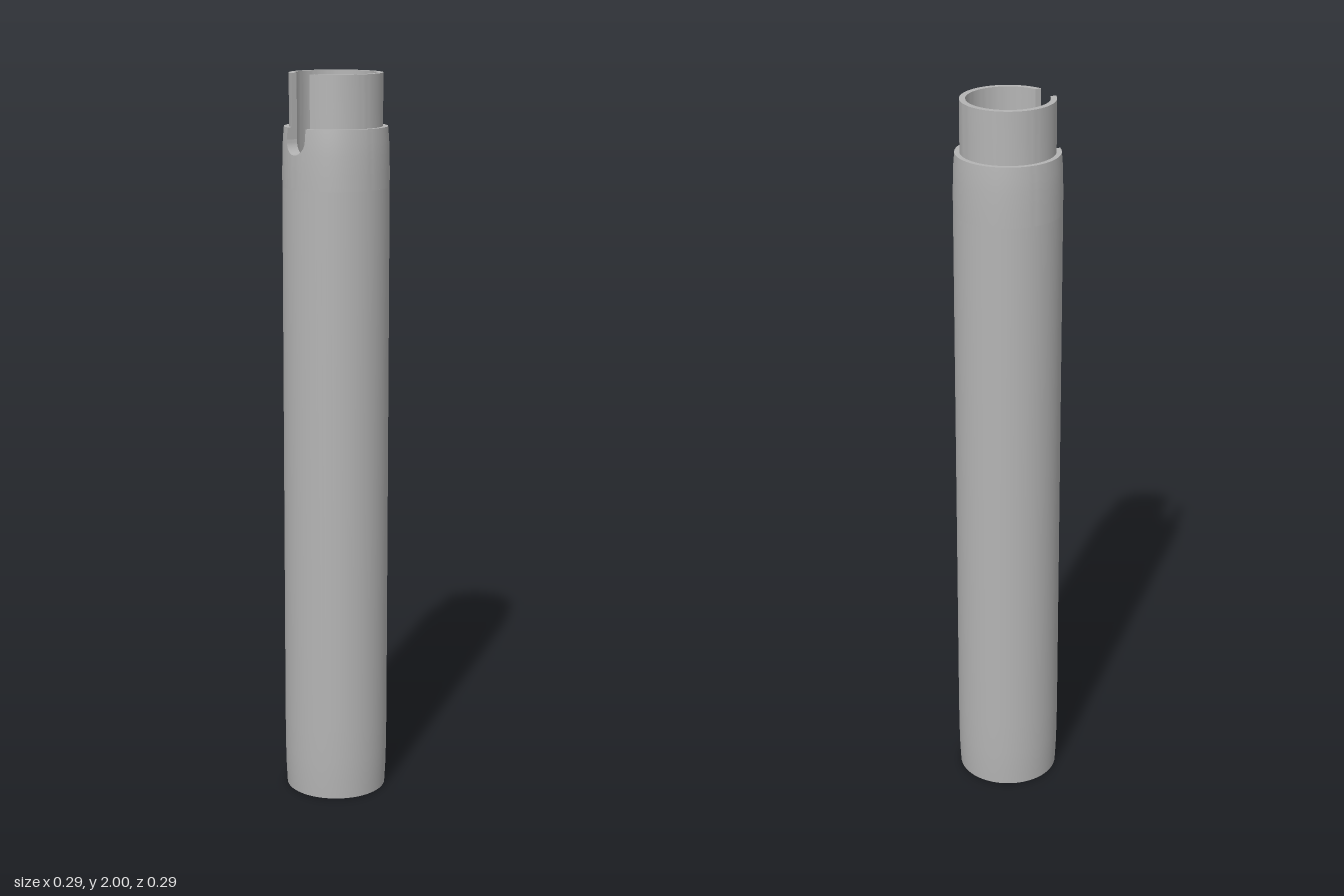
import * as THREE from 'three';
import { mergeGeometries, toCreasedNormals } from 'three/addons/utils/BufferGeometryUtils.js';

const SEG = 72;          // sides around the tube
const BORE = 0.109;      // inner radius
const SPLIT = 1.7;       // height where the slotted end begins
const SLOT = 0.038;      // half width of the slot
const SLOT_Y = 1.828;    // centre of the slot's round bottom
const CREASE = 0.5;

// Surface through a grid of points, column by column
function grid(columns) {
  const n = columns[0].length;
  const index = [];
  for (let j = 0; j < columns.length - 1; j++) {
    for (let i = 0; i < n - 1; i++) {
      const a = j * n + i, b = a + n;
      index.push(a, b, a + 1, b + 1, a + 1, b);
    }
  }
  const geometry = new THREE.BufferGeometry();
  geometry.setAttribute('position', new THREE.Float32BufferAttribute(columns.flat(2), 3));
  geometry.setIndex(index);
  return geometry;
}

export function createModel() {
  const group = new THREE.Group();
  const metal = new THREE.MeshStandardMaterial({ color: 0xb4b4b4, side: THREE.DoubleSide });
  metal.name = 'grey metal';

  const add = (name, geometry) => {
    const mesh = new THREE.Mesh(geometry, metal);
    mesh.name = name;
    group.add(mesh);
    return mesh;
  };

  // Long tube with a rounded-in foot and a socket inside the lower end
  const tubeProfile = [
    [BORE, SPLIT], [BORE, 0.15], [0.128, 0.15], [0.128, 0],
    [0.1385, 0], [0.1412, 0.05], [0.1427, 0.11], [0.1435, 0.2], [0.1435, SPLIT],
  ].map(([r, y]) => new THREE.Vector2(r, y));
  add('tube', toCreasedNormals(new THREE.LatheGeometry(tubeProfile, SEG), CREASE));

  // Upper end: tapered shoulder and narrow spigot, swept from one slot wall to the other
  const upper = [
    [0.1435, SPLIT], [0.1435, 1.74], [0.1427, 1.79], [0.1412, SLOT_Y], [0.1385, 1.86],
    [0.125, 1.86], [0.125, 2], [BORE, 2], [BORE, SLOT_Y], [BORE, SPLIT],
  ];
  const sweep = [];
  for (let j = 0; j <= SEG; j++) {
    sweep.push(upper.map(([r, y]) => {
      const edge = Math.asin(SLOT / r);
      const angle = edge + (j / SEG) * (2 * Math.PI - 2 * edge);
      return [-r * Math.cos(angle), y, r * Math.sin(angle)];
    }));
  }

  // Wall below the slot, ending in its half-round bottom
  const saddle = [];
  for (let j = 0; j <= 16; j++) {
    const t = (j / 16 - 0.5) * Math.PI;
    const z = SLOT * Math.sin(t);
    const top = SLOT_Y - SLOT * Math.cos(t);
    const rTop = THREE.MathUtils.mapLinear(top, 1.79, SLOT_Y, 0.1427, 0.1412);
    const column = [...upper.slice(0, 3), [rTop, top], [BORE, top], [BORE, SPLIT]];
    saddle.push(column.map(([r, y]) => [-Math.sqrt(r * r - z * z), y, z]));
  }
  add('slottedSpigot', toCreasedNormals(mergeGeometries([grid(sweep), grid(saddle)]), CREASE));

  // Flat side walls of the slot
  const wall = new THREE.Shape(upper.slice(3, 9).map(([r, y]) =>
    new THREE.Vector2(-Math.sqrt(r * r - SLOT * SLOT), y)));
  for (const side of [-1, 1]) {
    add(side > 0 ? 'frontSlotWall' : 'backSlotWall', new THREE.ShapeGeometry(wall)).position.z = side * SLOT;
  }

  return group;
}
